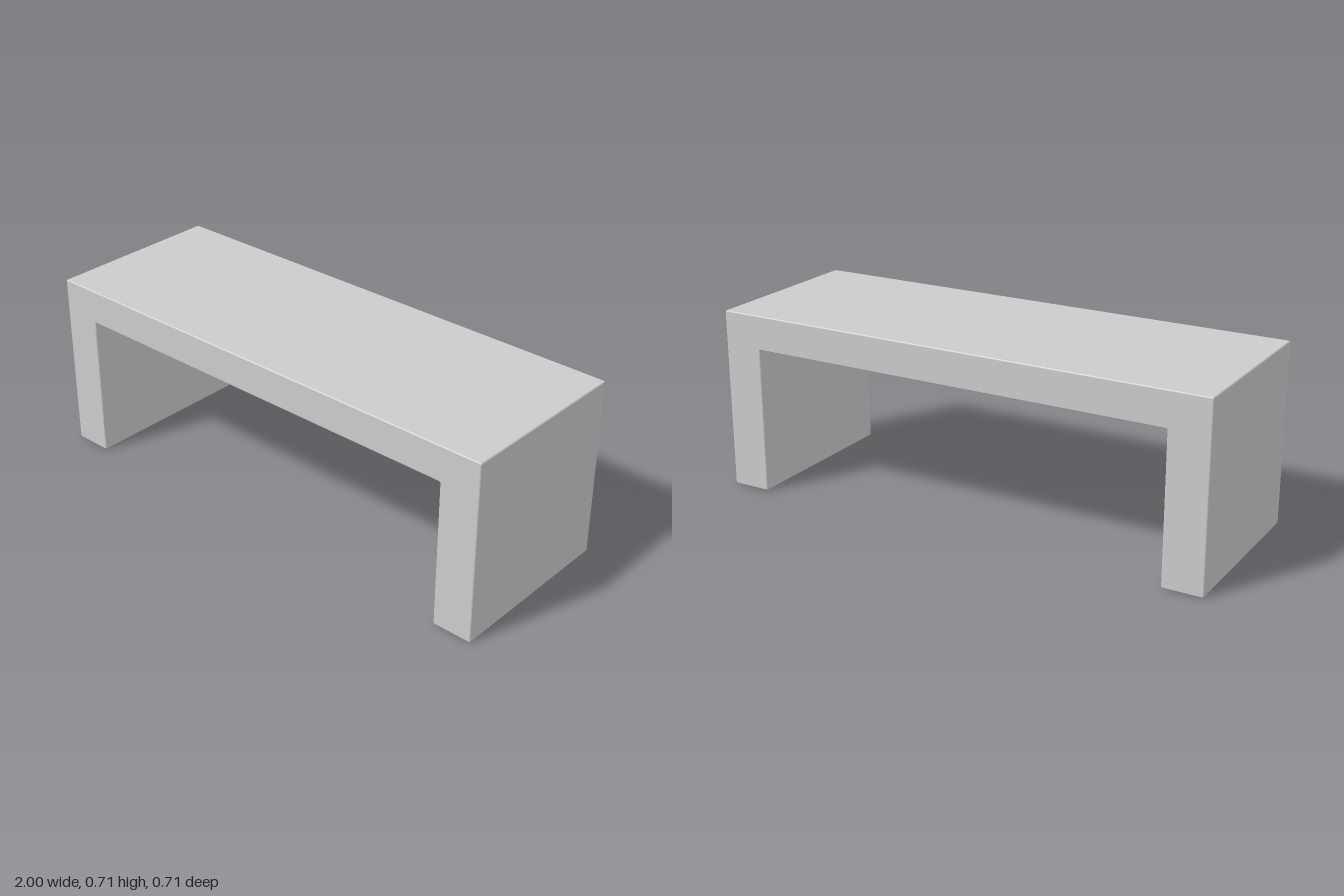
import * as THREE from 'three';

const HALF_W = 1, HEIGHT = 0.713, DEPTH = 0.712;
const INNER_X = 0.843, UNDERSIDE = 0.577; // opening between the legs
const BEVEL = 0.005;

// closed outline whose corners [x, y, radius] are softly rounded
function roundedOutline(corners) {
  const shape = new THREE.Shape();
  const pts = corners.map(([x, y]) => new THREE.Vector2(x, y));
  corners.forEach(([x, y, r], i) => {
    const n = pts.length;
    const toward = (q) => q.clone().sub(pts[i]).setLength(r).add(pts[i]);
    const a = toward(pts[(i + n - 1) % n]);
    const b = toward(pts[(i + 1) % n]);
    if (i === 0) shape.moveTo(a.x, a.y);
    else shape.lineTo(a.x, a.y);
    shape.quadraticCurveTo(x, y, b.x, b.y);
  });
  shape.closePath();
  return shape;
}

export function createModel() {
  const model = new THREE.Group();
  model.name = 'bench';

  // half of the arch profile, inset so that the bevel grows it to full size
  const outer = 0.002, inner = 0.012;
  const half = [
    [INNER_X + BEVEL, BEVEL, outer],
    [HALF_W - BEVEL, BEVEL, outer],
    [HALF_W - BEVEL, HEIGHT - BEVEL, outer],
  ];
  const insideCorner = [INNER_X + BEVEL, UNDERSIDE + BEVEL, inner];
  const right = [insideCorner, ...half];
  const left = right.map(([x, y, r]) => [-x, y, r]).reverse();

  // seat slab and both legs as one continuous body
  const geometry = new THREE.ExtrudeGeometry(roundedOutline([...right, ...left]), {
    depth: DEPTH - 2 * BEVEL,
    bevelEnabled: true,
    bevelSize: BEVEL,
    bevelThickness: BEVEL,
    bevelSegments: 3,
    curveSegments: 4,
  });
  geometry.translate(0, 0, -DEPTH / 2 + BEVEL);

  const body = new THREE.Mesh(geometry, new THREE.MeshStandardMaterial({ color: 0xcccccc }));
  body.name = 'seatAndLegs';
  model.add(body);
  return model;
}
